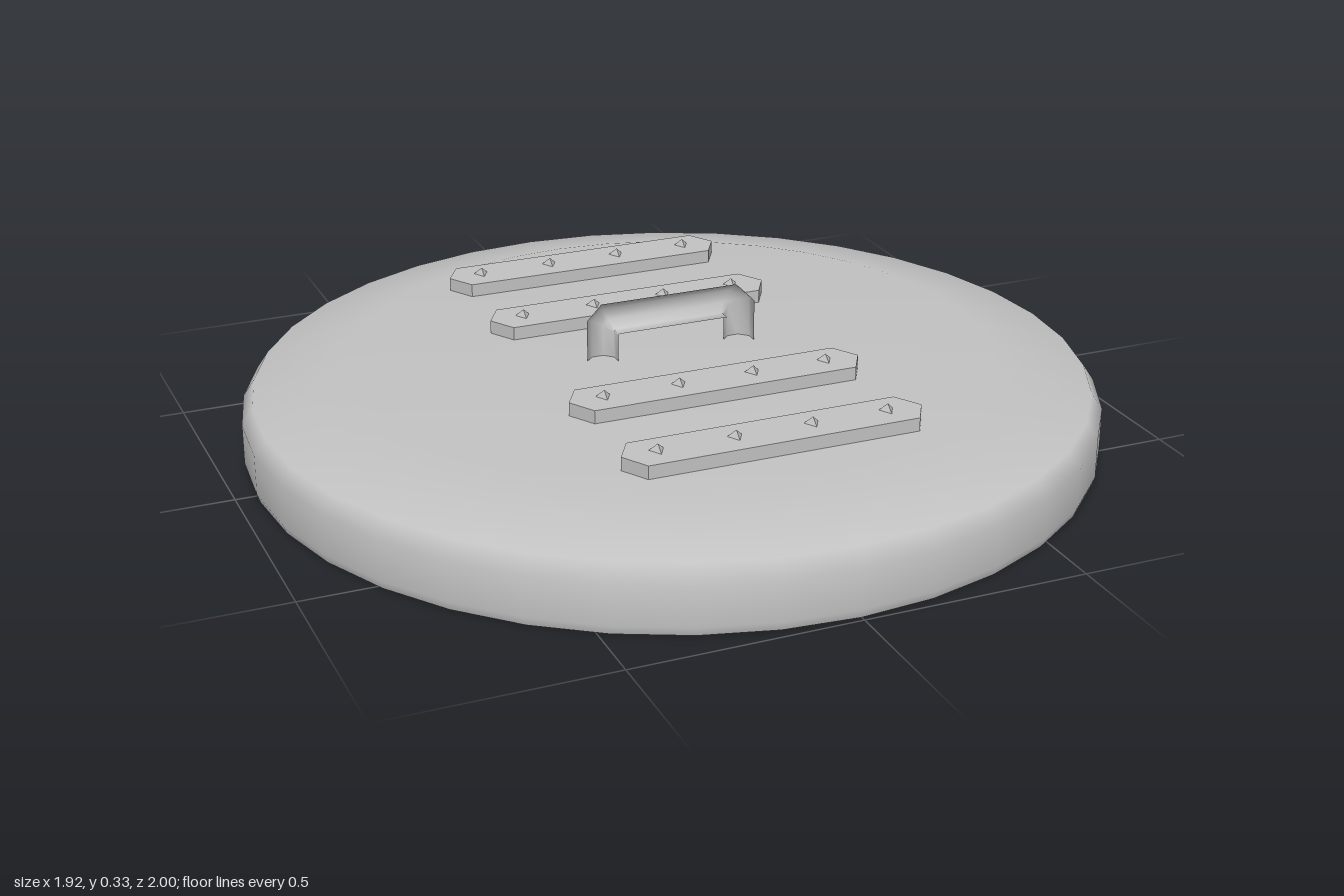
import * as THREE from 'three';
import { toCreasedNormals } from 'three/addons/utils/BufferGeometryUtils.js';

const CZ = 0.035; // disc centre in z
const SIDES = 36;

// Octagonal tube through rings given as [outerX, outerY, innerX, innerY]
function loftRings(rings, depth, sides = 8) {
  const pos = [], index = [];
  for (const [ox, oy, ix, iy] of rings) {
    for (let i = 0; i < sides; i++) {
      const a = ((i + 0.5) / sides) * Math.PI * 2;
      const k = Math.cos(a) / Math.cos(Math.PI / sides) * 0.5;
      pos.push((ox + ix) / 2 + (ox - ix) * k, (oy + iy) / 2 + (oy - iy) * k,
        depth * Math.sin(a) / Math.cos(Math.PI / sides));
    }
  }
  for (let r = 0; r < rings.length - 1; r++) {
    for (let i = 0; i < sides; i++) {
      const a = r * sides + i, b = r * sides + (i + 1) % sides;
      index.push(a, b, a + sides, b, b + sides, a + sides);
    }
  }
  const g = new THREE.BufferGeometry();
  g.setAttribute('position', new THREE.Float32BufferAttribute(pos, 3));
  g.setIndex(index);
  return toCreasedNormals(g, 0.82);
}

export function createModel() {
  const model = new THREE.Group();
  model.name = 'roundHatch';
  const metal = new THREE.MeshStandardMaterial({ color: 0xc2c2c2 });
  metal.name = 'grey metal';

  const add = (name, geometry, x, y, z, parent = model) => {
    const mesh = new THREE.Mesh(geometry, metal);
    mesh.name = name;
    mesh.position.set(x, y, z);
    parent.add(mesh);
    return mesh;
  };

  // Lid with a smooth bevelled rim
  const profile = [[0.953, 0], [0.96, 0.02], [0.96, 0.11], [0.935, 0.147], [0.72, 0.2], [0, 0.2]]
    .map(([r, y]) => new THREE.Vector2(r, y));
  add('lid', new THREE.LatheGeometry(profile, SIDES), 0, 0, CZ);
  add('lidUnderside', new THREE.CircleGeometry(0.953, SIDES).rotateX(Math.PI / 2), 0, 0, CZ);

  // Grip strips with clipped corners, each with four pointed studs
  const shape = new THREE.Shape([
    [-0.34, 0], [-0.305, -0.06], [0.305, -0.06], [0.34, 0], [0.305, 0.06], [-0.305, 0.06],
  ].map(([x, y]) => new THREE.Vector2(x, y)));
  const stripGeometry = new THREE.ExtrudeGeometry(shape, { depth: 0.035, bevelEnabled: false })
    .rotateX(-Math.PI / 2);
  const studGeometry = toCreasedNormals(new THREE.ConeGeometry(0.02, 0.017, 3), 0.3);
  for (const z of [-0.515, -0.22, 0.285, 0.58]) {
    const strip = new THREE.Group();
    strip.name = 'gripStrip';
    strip.position.set(0, 0.195, z);
    model.add(strip);
    add('stripPlate', stripGeometry, 0, 0, 0, strip);
    for (let i = 0; i < 4; i++) {
      add('stripStud', studGeometry, -0.26 + i * 0.1733, 0.0425, 0, strip);
    }
  }

  // Handle: two legs bent into a bar
  const half = [
    [0.197, 0.195, 0.133, 0.195],
    [0.197, 0.295, 0.133, 0.262],
    [0.163, 0.33, 0.13, 0.265],
  ];
  const mirrored = half.map(([ox, oy, ix, iy]) => [-ox, oy, -ix, iy]).reverse();
  add('handle', loftRings([...half, ...mirrored], 0.032), 0, 0, CZ);

  // Hinge block at the back, with studs on its rear and top
  add('hingeBlock', new THREE.BoxGeometry(0.254, 0.077, 0.13), 0, 0.0395, -0.923);
  const rivet = new THREE.SphereGeometry(1, 8, 6).scale(0.02, 0.027, 0.014);
  for (const side of [-1, 1]) {
    add('hingeRivet', rivet, side * 0.085, 0.04, -0.986);
    add('hingeTopStud', studGeometry, side * 0.085, 0.08, -0.95);
  }
  return model;
}
